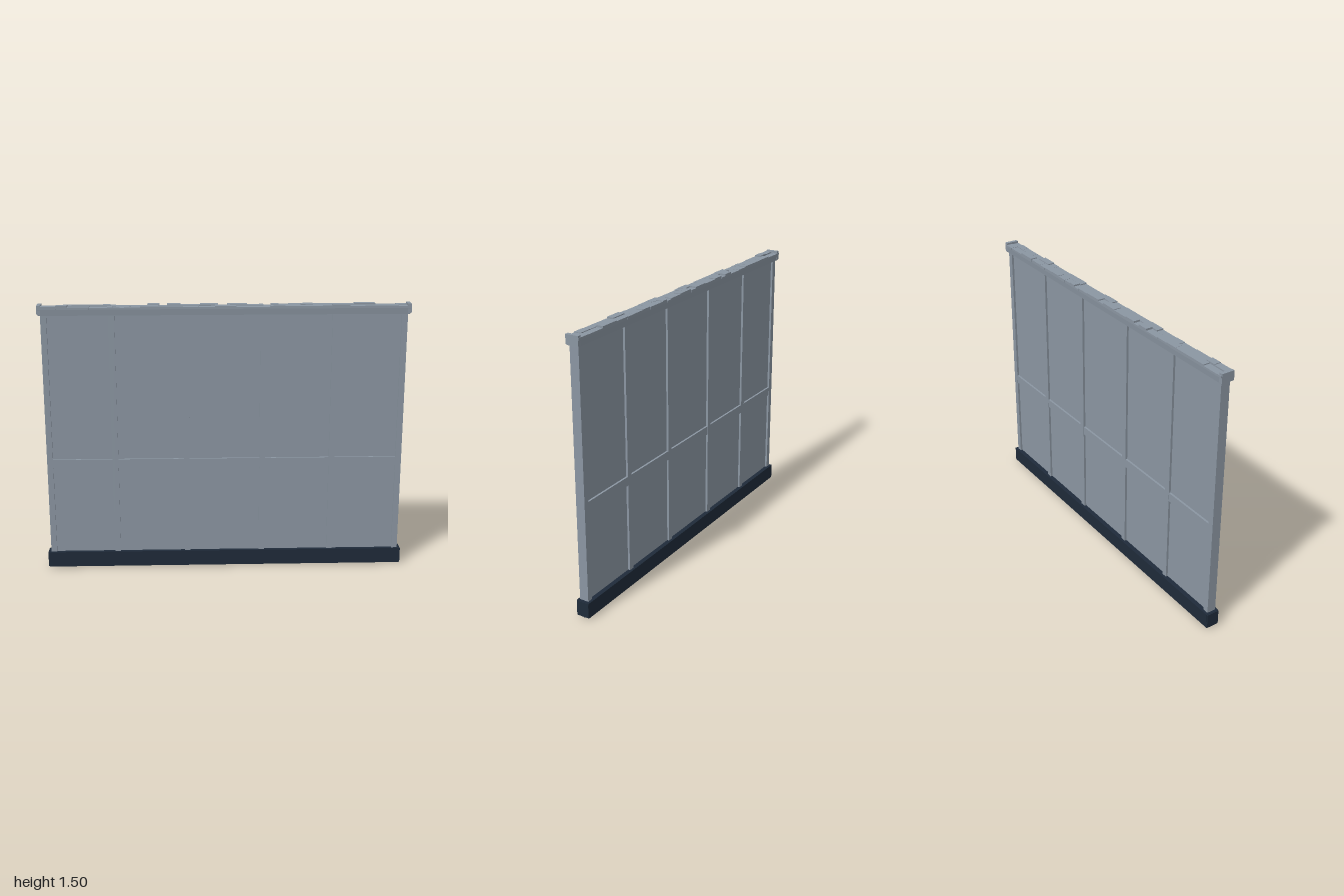
import * as THREE from 'three';

export function createModel() {
  const group = new THREE.Group();
  group.name = 'wallPartition';
  const grey = new THREE.MeshStandardMaterial({ name: 'paleSteelGrey', color: 0x8b96a2 });
  const navy = new THREE.MeshStandardMaterial({ name: 'darkNavy', color: 0x1f2b3a });

  // Box given by its minimum and maximum corners
  function box(name, mat, x0, x1, y0, y1, z0, z1) {
    const mesh = new THREE.Mesh(new THREE.BoxGeometry(x1 - x0, y1 - y0, z1 - z0), mat);
    mesh.position.set((x0 + x1) / 2, (y0 + y1) / 2, (z0 + z1) / 2);
    mesh.name = name;
    group.add(mesh);
  }

  // Full-width rail with a slightly tapered cross-section
  function rail(name, mat, y0, y1, bottomHalf, topHalf) {
    const shape = new THREE.Shape([
      new THREE.Vector2(-bottomHalf, y0), new THREE.Vector2(bottomHalf, y0),
      new THREE.Vector2(topHalf, y1), new THREE.Vector2(-topHalf, y1),
    ]);
    const geo = new THREE.ExtrudeGeometry(shape, { depth: 1.99, bevelEnabled: false });
    geo.translate(0, 0, -0.995).rotateY(Math.PI / 2);
    const mesh = new THREE.Mesh(geo, mat);
    mesh.position.z = -0.002;
    mesh.name = name;
    group.add(mesh);
  }

  // Skirting along the floor and coping along the top
  rail('baseRail', navy, 0.007, 0.095, 0.035, 0.038);
  box('baseSeam', navy, -0.99, 0.99, 0, 0.01, -0.005, 0.002);
  rail('topRail', grey, 1.445, 1.485, 0.033, 0.037);

  // Recessed panel sheet with a frame proud of both faces
  box('panel', grey, -0.97, 0.97, 0.09, 1.45, -0.014, 0.014);
  for (const x of [-0.967, -0.606, -0.212, 0.207, 0.594, 0.967]) {
    box('stud', grey, x - 0.016, x + 0.016, 0.09, 1.45, -0.026, 0.025);
  }
  box('middleRail', grey, -0.96, 0.96, 0.59, 0.64, -0.025, 0.024);

  // Uneven chipped slabs along the top, in two staggered rows
  let seed = 17;
  const random = () => (seed = (seed * 16807) % 2147483647) / 2147483647;
  const edges = [-0.039, -0.002, 0.035];
  for (let row = 0; row < 2; row++) {
    let x = -0.997;
    while (x < 0.997) {
      let end = x + 0.03 + random() * 0.09;
      if (end > 0.96) end = 0.997;
      const top = 1.487 + random() * 0.011;
      box('chippedSlab', grey, x, end, 1.478, top,
        edges[row] - (row ? 0 : random() * 0.003), edges[row + 1] + (row ? random() * 0.003 : 0));
      x = end;
    }
  }
  // End blocks close the coping
  for (const s of [-1, 1]) {
    box('copingEnd', grey, s * 0.99 - 0.01, s * 0.99 + 0.01, 1.45, 1.5, -0.038, 0.034);
    box('baseEnd', navy, s * 0.99 - 0.01, s * 0.99 + 0.01, 0.01, 0.093, -0.037, 0.034);
  }
  return group;
}
